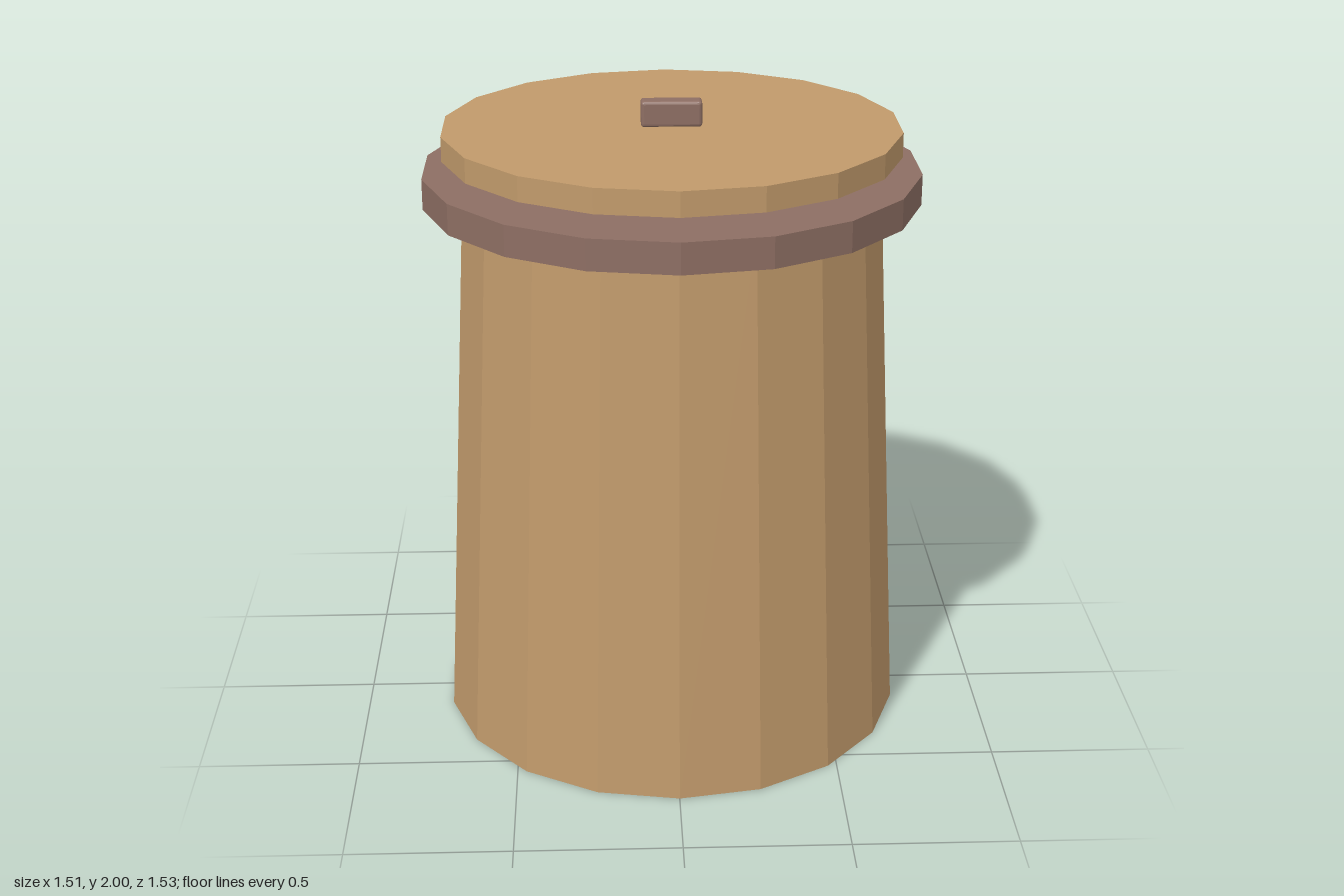
import * as THREE from 'three';
import { RoundedBoxGeometry } from 'three/addons/geometries/RoundedBoxGeometry.js';

const SIDES = 18;

export function createModel() {
  const group = new THREE.Group();
  const tan = new THREE.MeshStandardMaterial({ color: 0xc19a6b, flatShading: true });
  const brown = new THREE.MeshStandardMaterial({ color: 0x8d6e63, flatShading: true });

  const add = (name, geometry, material, y) => {
    const mesh = new THREE.Mesh(geometry, material);
    mesh.name = name;
    mesh.position.y = y;
    group.add(mesh);
  };

  // Faceted drum between two heights
  const drum = (name, rTop, rBottom, y0, y1, material) =>
    add(name, new THREE.CylinderGeometry(rTop, rBottom, y1 - y0, SIDES), material, (y0 + y1) / 2);

  drum('body', 0.642, 0.735, 0, 1.79, tan);
  drum('rim', 0.765, 0.765, 1.7, 1.795, brown);

  // Lid floats a little above the rim
  drum('lid', 0.703, 0.703, 1.846, 1.922, tan);

  // Softly rounded grip on the lid
  add('lidHandle', new RoundedBoxGeometry(0.186, 0.08, 0.06, 2, 0.01), brown, 1.96);

  return group;
}
